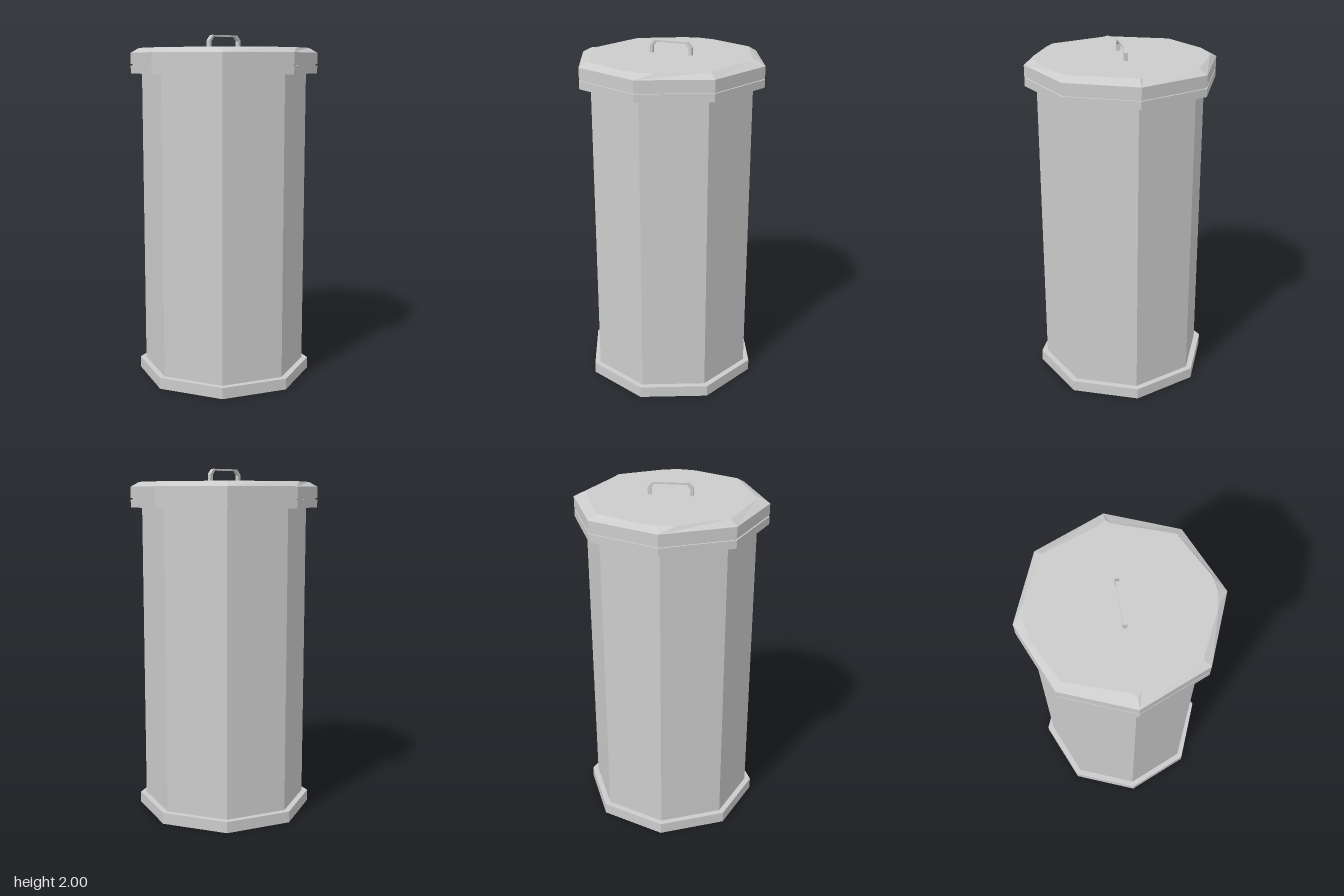
import * as THREE from 'three';

const material = new THREE.MeshStandardMaterial({ color: 0xcccccc, flatShading: true });

function addMesh(group, name, geometry, y = 0) {
  const mesh = new THREE.Mesh(geometry, material);
  mesh.name = name;
  mesh.position.y = y;
  group.add(mesh);
}

// Eight-sided prism standing between two heights, corners on the x and z axes
function addPrism(group, name, radius, y0, y1) {
  addMesh(group, name, new THREE.CylinderGeometry(radius, radius, y1 - y0, 8), (y0 + y1) / 2);
}

// Bevelled cap: an octagonal lower edge joined to a flat top with softened axis corners
function capGeometry(outerR, y0, y1) {
  const d = outerR * Math.SQRT1_2, t = 0.346;
  // one quarter, from +z round to +x: [outer x, outer z, top x, top z]
  const quarter = [
    [0, outerR, 0, 0.488], [0, outerR, 0.09, 0.474],
    [d, d, t, t], [outerR, 0, 0.462, 0.023],
  ];
  const flip = ([a, b, c, e], sx, sz) => [a * sx, b * sz, c * sx, e * sz];
  const tipX = [outerR, 0, 0.487, 0];
  const ring = [
    ...quarter, tipX,
    ...quarter.slice(1).reverse().map(p => flip(p, 1, -1)),
    flip(quarter[0], 1, -1),
    ...quarter.slice(1).map(p => flip(p, -1, -1)), flip(tipX, -1, 1),
    ...quarter.slice(1).reverse().map(p => flip(p, -1, 1)),
  ];
  const v = [];
  ring.forEach((p, i) => {
    const q = ring[(i + 1) % ring.length];
    const a = [p[0], y0, p[1]], b = [q[0], y0, q[1]];
    const c = [q[2], y1, q[3]], e = [p[2], y1, p[3]];
    if (p[0] !== q[0] || p[1] !== q[1]) v.push(...a, ...b, ...c);
    v.push(...a, ...c, ...e, ...e, ...c, 0, y1, 0);
  });
  const geometry = new THREE.BufferGeometry();
  geometry.setAttribute('position', new THREE.Float32BufferAttribute(v, 3));
  geometry.computeVertexNormals();
  return geometry;
}

// Flat arched grip with chamfered upper corners
function handleGeometry(y0) {
  const half = [[0.125, y0], [0.125, 1.971], [0.098, 2]];
  const inner = [[0.107, y0], [0.107, 1.966], [0.088, 1.99]];
  const mirror = pts => pts.map(([x, y]) => [-x, y]);
  const outline = [...half, ...mirror(half).reverse(), ...mirror(inner), ...inner.reverse()];
  const shape = new THREE.Shape(outline.map(([x, y]) => new THREE.Vector2(x, y)));
  const depth = 0.022;
  return new THREE.ExtrudeGeometry(shape, { depth, bevelEnabled: false }).translate(0, 0, -depth / 2);
}

export function createModel() {
  const group = new THREE.Group();
  group.name = 'bin';

  // Container
  addPrism(group, 'base', 0.51, 0, 0.065);
  addPrism(group, 'body', 0.475, 0.065, 1.785);
  addPrism(group, 'rim', 0.54, 1.783, 1.828);

  // Lid, with a narrow seam above the rim
  const lid = new THREE.Group();
  lid.name = 'lid';
  addPrism(lid, 'lidSeam', 0.53, 1.828, 1.836);
  addPrism(lid, 'lidBand', 0.54, 1.836, 1.9);
  addMesh(lid, 'lidCap', capGeometry(0.54, 1.9, 1.928));
  addMesh(lid, 'lidHandle', handleGeometry(1.925));
  group.add(lid);

  return group;
}
